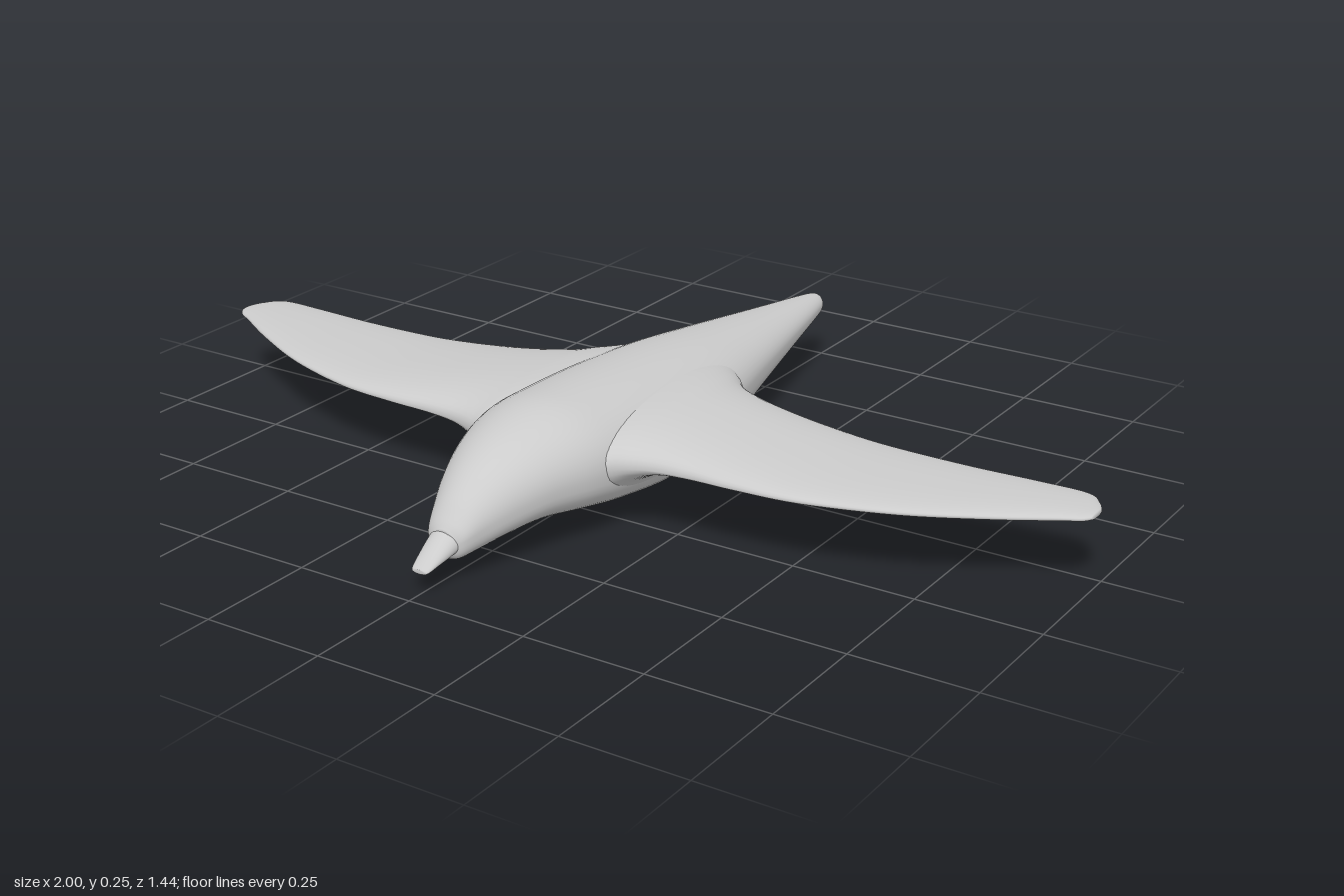
import * as THREE from 'three';

const RING = 48, STEPS = 6;

// Superellipse coordinate: keeps the sign, squares off the curve as n grows
const sup = (v, n) => Math.sign(v) * Math.pow(Math.abs(v), 2 / n);

// Smooth skin through cross-sections [position, side min, side max, bottom, middle, top]
function loft(name, sections, place, nTop, nBottom) {
  const curve = (a, b, c) => new THREE.CatmullRomCurve3(
    sections.map(s => new THREE.Vector3(s[a], s[b], s[c])), false, 'catmullrom', 0.5);
  const sides = curve(0, 1, 2), heights = curve(3, 4, 5);
  const count = (sections.length - 1) * STEPS;
  const pos = [], index = [];
  const addRing = (t, k) => {
    const s = sides.getPoint(t), h = heights.getPoint(t);
    const mid = (s.y + s.z) / 2, half = (s.z - s.y) / 2;
    for (let j = 0; j < RING; j++) {
      const a = j / RING * Math.PI * 2, c = Math.cos(a), d = Math.sin(a);
      const n = d >= 0 ? nTop : nBottom;
      const rise = d >= 0 ? h.z - h.y : h.y - h.x;
      pos.push(...place(s.x, mid + k * half * sup(c, n), h.y + k * rise * sup(d, n)));
    }
  };
  addRing(0, 0);
  for (let i = 0; i <= count; i++) addRing(i / count, 1);
  addRing(1, 0);
  for (let i = 0; i < count + 2; i++) {
    for (let j = 0; j < RING; j++) {
      const a = i * RING + j, b = i * RING + (j + 1) % RING;
      index.push(a, b, b + RING, a, b + RING, a + RING);
    }
  }
  const geo = new THREE.BufferGeometry();
  geo.setAttribute('position', new THREE.Float32BufferAttribute(pos, 3));
  geo.setIndex(index);
  geo.computeVertexNormals();
  const mesh = new THREE.Mesh(geo, new THREE.MeshStandardMaterial({ color: 0xcccccc }));
  mesh.name = name;
  return mesh;
}

export function createModel() {
  const group = new THREE.Group();
  group.name = 'flyingBird';
  const alongZ = (p, u, v) => [u, v, p];
  const alongX = (p, u, v) => [p, v, u];
  const round = ([z, w, bottom, mid, top]) => [z, -w, w, bottom, mid, top];

  // Body from tail tip to face: z, half width, bottom, middle, top
  const body = [
    [-0.72, 0.012, 0.123, 0.137, 0.152],
    [-0.705, 0.025, 0.115, 0.137, 0.158],
    [-0.65, 0.04, 0.109, 0.137, 0.165],
    [-0.5, 0.073, 0.088, 0.137, 0.182],
    [-0.3, 0.116, 0.057, 0.135, 0.206],
    [-0.12, 0.152, 0.022, 0.13, 0.226],
    [0.07, 0.168, 0.002, 0.13, 0.24],
    [0.25, 0.165, 0.026, 0.13, 0.249],
    [0.36, 0.15, 0.046, 0.135, 0.249],
    [0.46, 0.118, 0.06, 0.135, 0.229],
    [0.54, 0.087, 0.055, 0.12, 0.197],
    [0.6, 0.06, 0.046, 0.1, 0.156],
    [0.635, 0.043, 0.042, 0.085, 0.12],
    [0.65, 0.026, 0.05, 0.075, 0.1],
  ].map(round);
  group.add(loft('body', body, alongZ, 2, 2.6));

  // Short drooping beak
  const beak = [
    [0.6, 0.036, 0.058, 0.09, 0.125],
    [0.65, 0.032, 0.052, 0.072, 0.099],
    [0.69, 0.025, 0.046, 0.058, 0.073],
    [0.715, 0.019, 0.042, 0.048, 0.055],
    [0.72, 0.012, 0.043, 0.047, 0.051],
  ].map(round);
  group.add(loft('beak', beak, alongZ, 2, 2));

  // One wing from tip to root: x, trailing z, leading z, bottom, middle, top
  const wing = [
    [1.0, 0.022, 0.062, 0.146, 0.15, 0.155],
    [0.985, -0.005, 0.078, 0.142, 0.15, 0.158],
    [0.95, -0.034, 0.098, 0.14, 0.15, 0.161],
    [0.85, -0.033, 0.158, 0.138, 0.15, 0.164],
    [0.7, -0.027, 0.233, 0.136, 0.15, 0.166],
    [0.53, -0.03, 0.286, 0.134, 0.15, 0.171],
    [0.4, -0.045, 0.3, 0.134, 0.15, 0.182],
    [0.3, -0.062, 0.303, 0.131, 0.15, 0.194],
    [0.23, -0.083, 0.31, 0.12, 0.149, 0.203],
    [0.18, -0.112, 0.327, 0.093, 0.147, 0.209],
    [0.14, -0.16, 0.352, 0.06, 0.145, 0.213],
    [0.08, -0.21, 0.37, 0.05, 0.142, 0.215],
  ];
  // Mirrored halves meet inside the body as a single skin
  const mirrored = wing.map(([x, ...rest]) => [-x, ...rest]).reverse();
  group.add(loft('wings', [...wing, ...mirrored], alongX, 2.3, 2.3));

  return group;
}
